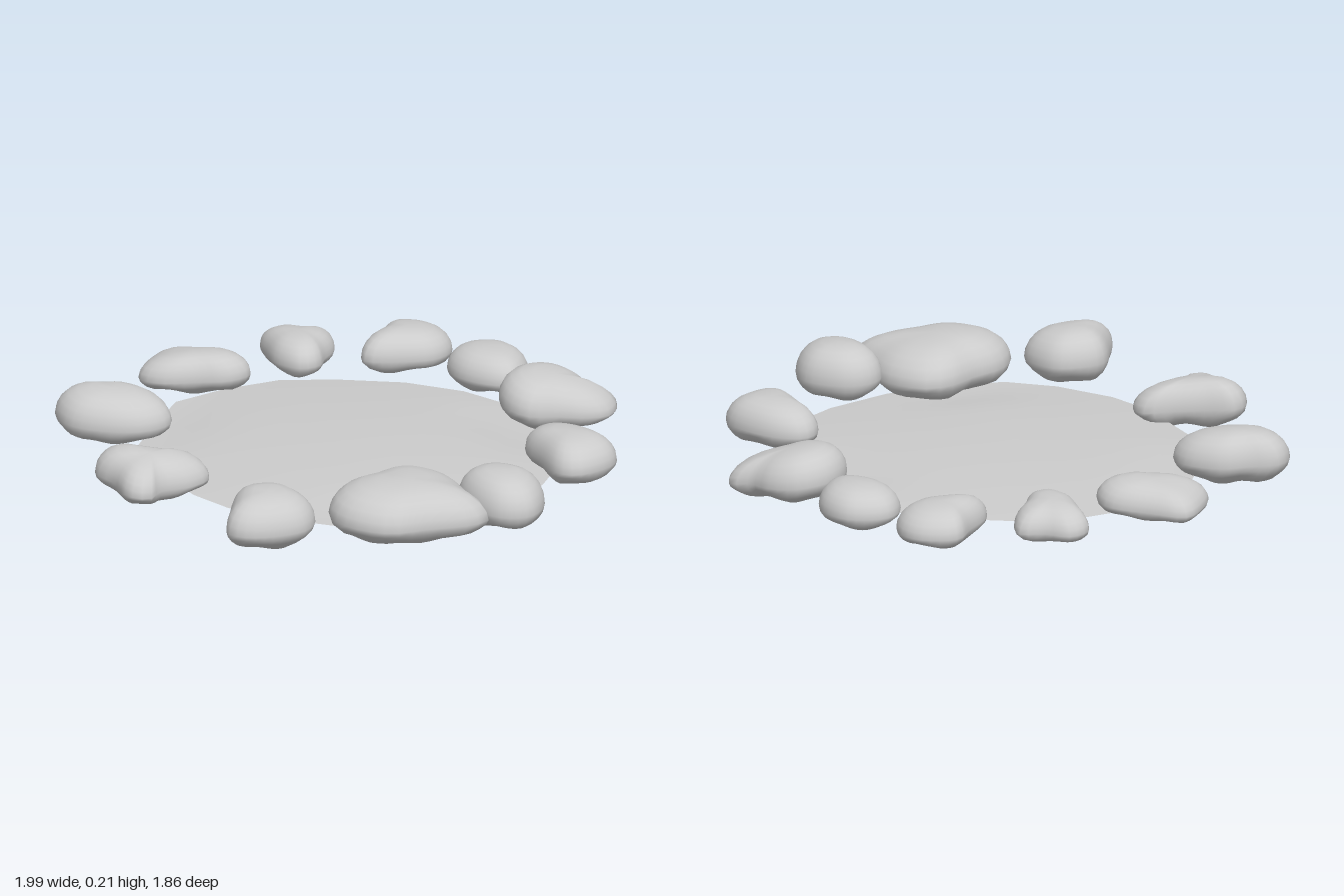
import * as THREE from 'three';

const material = new THREE.MeshStandardMaterial({ color: 0xcccccc, roughness: 0.9 });

// Skins a stack of closed rings; a ring of one point is a pole.
function skin(rings) {
  const positions = [], index = [], starts = [];
  for (const ring of rings) {
    starts.push(positions.length / 3);
    for (const p of ring) positions.push(p.x, p.y, p.z);
  }
  for (let k = 0; k < rings.length - 1; k++) {
    const n = Math.max(rings[k].length, rings[k + 1].length);
    const at = (r, j) => starts[r] + (j % n) % rings[r].length;
    for (let j = 0; j < n; j++) {
      if (rings[k].length > 1) index.push(at(k, j), at(k + 1, j), at(k, j + 1));
      if (rings[k + 1].length > 1) index.push(at(k, j + 1), at(k + 1, j), at(k + 1, j + 1));
    }
  }
  const geometry = new THREE.BufferGeometry();
  geometry.setAttribute('position', new THREE.Float32BufferAttribute(positions, 3));
  geometry.setIndex(index);
  geometry.computeVertexNormals();
  return geometry;
}

// Turns flat x, z pairs into points on the ground.
function toPoints(flat) {
  const points = [];
  for (let i = 0; i < flat.length; i += 2) points.push(new THREE.Vector3(flat[i], 0, flat[i + 1]));
  return points;
}

// A rounded pebble grown from its plan outline; slopes tilt its upper side.
function stoneGeometry(flat, low, high, slopeX, slopeZ, seed) {
  const around = 32, layers = 12;
  const curve = new THREE.CatmullRomCurve3(toPoints(flat), true, 'centripetal');
  const outline = curve.getSpacedPoints(around).slice(0, around);
  const centre = new THREE.Vector3();
  outline.forEach((p) => centre.addScaledVector(p, 1 / around));
  const waist = low + (high - low) * 0.45;
  const rings = [];
  for (let k = 0; k <= layers; k++) {
    const a = -Math.PI / 2 + (Math.PI * k) / layers;
    const pole = k === 0 || k === layers;
    const spread = pole ? 0 : Math.pow(Math.cos(a), a < 0 ? 0.85 : 0.72);
    const s = Math.sin(a);
    const y = s > 0 ? waist + (high - waist) * s : waist + (waist - low) * s;
    rings.push((pole ? [centre] : outline).map((p) => {
      const q = centre.clone().lerp(p, spread);
      const dx = q.x - centre.x, dz = q.z - centre.z;
      const lift = (slopeX * dx + slopeZ * dz) * (y - low) / (high - low);
      // the underside is rougher than the worn top
      const rough = s < 0 ? 0.012 * -s * (1 + Math.sin(q.x * 31 + seed) * Math.cos(q.z * 27 + seed)) : 0;
      q.y = y + lift + rough;
      return q;
    }));
  }
  return skin(rings);
}

// The thin, slightly domed sheet inside the stones, with dips beside three of them.
function basinGeometry() {
  const rim = toPoints([
    -0.735, 0.2, -0.61, 0.38, -0.45, 0.575, -0.26, 0.64, 0.03, 0.685, 0.2, 0.665, 0.4, 0.58, 0.55, 0.47,
    0.64, 0.3, 0.69, 0.08, 0.69, -0.16, 0.65, -0.32, 0.55, -0.45, 0.4, -0.575, 0.2, -0.665, -0.05, -0.685,
    -0.235, -0.64, -0.42, -0.53, -0.58, -0.36, -0.69, -0.2, -0.73, 0,
  ]);
  const dips = [[0.15, -0.55], [0.52, 0.3], [-0.6, 0.28]];
  const rings = [];
  const steps = 14;
  for (let k = 0; k <= steps; k++) {
    const t = k / steps;
    rings.push((k === 0 ? [new THREE.Vector3()] : rim).map((p) => {
      const q = p.clone().multiplyScalar(t);
      q.y = 0.075 - 0.03 * t * t;
      for (const [x, z] of dips) q.y -= 0.018 * Math.exp(-((q.x - x) ** 2 + (q.z - z) ** 2) / 0.015);
      return q;
    }));
  }
  return skin(rings);
}

export function createModel() {
  const group = new THREE.Group();

  const sheet = material.clone();
  sheet.side = THREE.DoubleSide;
  const basin = new THREE.Mesh(basinGeometry(), sheet);
  basin.name = 'pondSurface';
  group.add(basin);

  let count = 0;
  const addStone = (name, low, high, slopeX, slopeZ, outline) => {
    const mesh = new THREE.Mesh(stoneGeometry(outline, low, high, slopeX, slopeZ, ++count * 1.7), material);
    mesh.name = name;
    group.add(mesh);
  };

  // Stones along the back
  addStone('backRightStone', 0.02, 0.18, 0, 0.05,
    [-0.65, -0.79, -0.56, -0.81, -0.47, -0.76, -0.44, -0.67, -0.48, -0.56, -0.555, -0.46, -0.615, -0.49, -0.67, -0.6, -0.72, -0.69]);
  addStone('backStone', 0.02, 0.18, 0, 0,
    [-0.34, -0.87, -0.22, -0.885, -0.13, -0.83, -0.08, -0.74, -0.12, -0.68, -0.25, -0.63, -0.36, -0.66, -0.41, -0.75]);
  addStone('backTailedStone', 0.01, 0.195, -0.2, 0.12,
    [-0.02, -0.84, 0.07, -0.895, 0.165, -0.9, 0.225, -0.94, 0.3, -0.86, 0.29, -0.77, 0.24, -0.68, 0.2, -0.59, 0.11, -0.565, 0.005, -0.61, -0.05, -0.72]);
  addStone('backLeftStone', 0.015, 0.19, 0, 0,
    [0.47, -0.575, 0.67, -0.61, 0.74, -0.55, 0.75, -0.4, 0.7, -0.355, 0.54, -0.38, 0.42, -0.415, 0.39, -0.495]);

  // Stones on the left
  addStone('leftStone', 0.015, 0.22, -0.05, 0,
    [0.685, -0.1, 0.82, -0.17, 0.93, -0.125, 0.995, -0.02, 0.95, 0.07, 0.83, 0.1, 0.695, 0.065, 0.655, -0.01]);
  addStone('largeLeftStone', 0.01, 0.22, -0.05, 0.03,
    [0.51, 0.11, 0.65, 0.05, 0.81, 0.08, 0.92, 0.1, 0.935, 0.18, 0.89, 0.325, 0.845, 0.47, 0.7, 0.55, 0.59, 0.53, 0.51, 0.435, 0.5, 0.3, 0.48, 0.2]);

  // Stones along the front
  addStone('frontLeftStone', 0.015, 0.21, -0.1, 0,
    [0.415, 0.575, 0.565, 0.57, 0.64, 0.655, 0.63, 0.78, 0.58, 0.875, 0.52, 0.9, 0.43, 0.83, 0.345, 0.735, 0.36, 0.645]);
  addStone('frontStone', 0.01, 0.18, -0.18, 0,
    [-0.085, 0.58, 0.005, 0.6, 0.03, 0.7, 0.01, 0.805, 0.04, 0.875, -0.01, 0.925, -0.13, 0.905, -0.225, 0.91, -0.28, 0.835, -0.21, 0.745, -0.13, 0.65]);
  addStone('frontRightStone', 0.01, 0.2, -0.1, 0,
    [-0.715, 0.425, -0.58, 0.365, -0.475, 0.41, -0.465, 0.52, -0.53, 0.63, -0.65, 0.71, -0.77, 0.68, -0.81, 0.6, -0.76, 0.51]);

  // Stones on the right
  addStone('rightStone', 0.025, 0.175, 0.12, 0,
    [-0.995, 0.07, -0.9, -0.015, -0.77, -0.1, -0.67, -0.065, -0.66, 0.03, -0.715, 0.11, -0.795, 0.22, -0.88, 0.245, -0.955, 0.17]);
  addStone('rightRearStone', 0.025, 0.175, 0.05, 0.05,
    [-0.8, -0.49, -0.715, -0.45, -0.66, -0.37, -0.61, -0.31, -0.62, -0.24, -0.715, -0.21, -0.82, -0.24, -0.92, -0.29, -0.925, -0.37, -0.85, -0.425]);

  return group;
}
